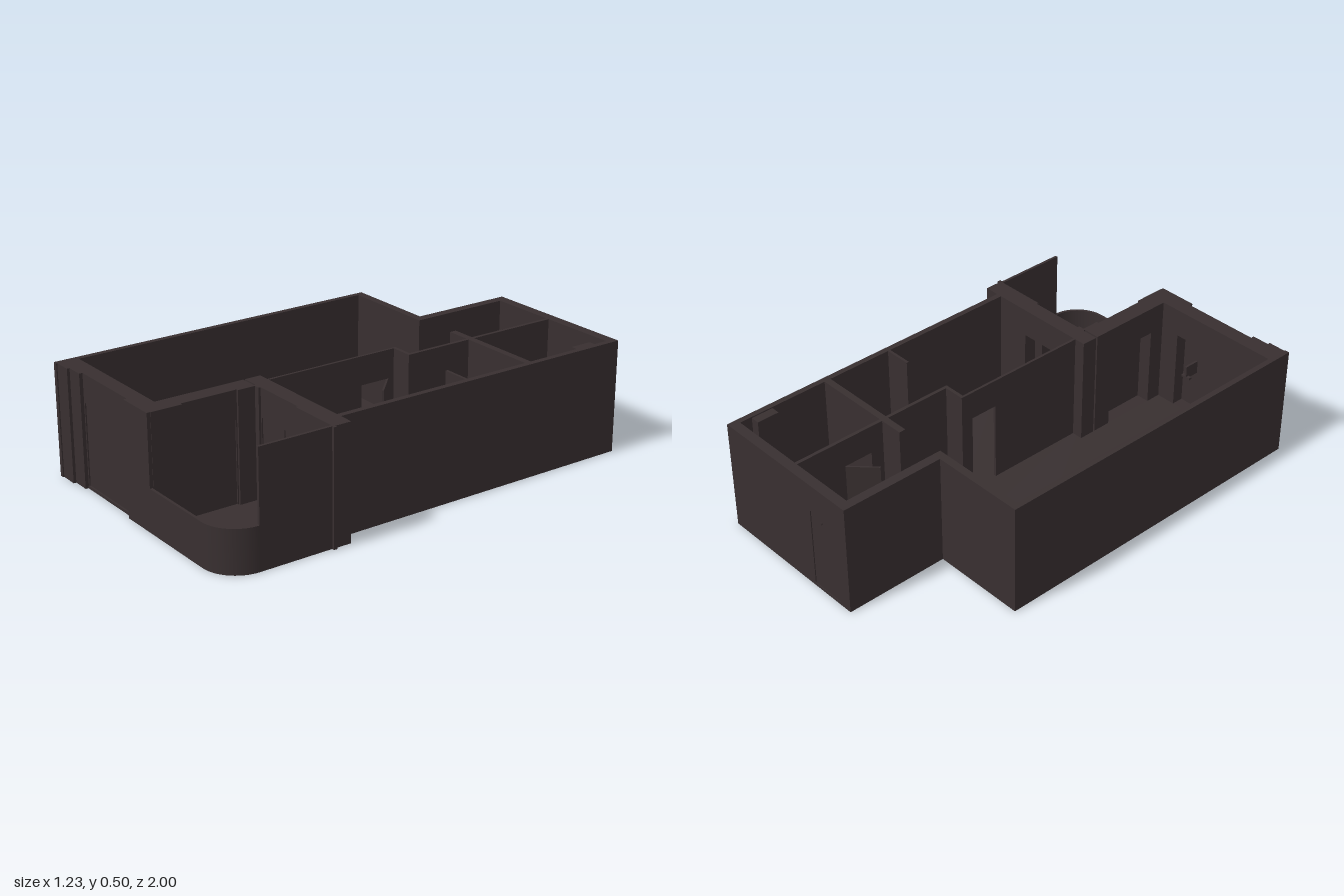
import * as THREE from 'three';

const H = 0.495;      // wall height
const DOOR = 0.37;    // head height of all openings
const FLOOR = 0.012;

export function createModel() {
  const model = new THREE.Group();
  model.name = 'apartmentShell';
  const plaster = new THREE.MeshStandardMaterial({ color: 0x382f30 });
  plaster.name = 'dark plaster';

  const add = (name, geo) => {
    const m = new THREE.Mesh(geo, plaster);
    m.name = name;
    model.add(m);
    return m;
  };
  // Box given by its limits in plan, then in height
  const block = (name, x0, x1, z0, z1, y0 = 0, y1 = H) => {
    const g = new THREE.BoxGeometry(x1 - x0, y1 - y0, z1 - z0);
    g.translate((x0 + x1) / 2, (y0 + y1) / 2, (z0 + z1) / 2);
    return add(name, g);
  };
  // Wall along x or z with openings [from, to, sill, head]
  const wall = (name, axis, a0, a1, b0, b1, openings = []) => {
    const part = (p, q, y0, y1) => axis === 'x'
      ? block(name, p, q, b0, b1, y0, y1)
      : block(name, b0, b1, p, q, y0, y1);
    let at = a0;
    for (const [p, q, sill, head] of openings) {
      if (p > at) part(at, p, 0, H);
      if (sill > 0) part(p, q, 0, sill);
      part(p, q, head, H);
      at = q;
    }
    if (a1 > at) part(at, a1, 0, H);
  };
  // Flat slab or wall drawn in plan as [x, z] points
  const slab = (name, shape, height) => {
    const g = new THREE.ExtrudeGeometry(shape, { depth: height, bevelEnabled: false, curveSegments: 16 });
    g.rotateX(Math.PI / 2);
    g.translate(0, height, 0);
    return add(name, g);
  };

  // Floor of the rooms
  const plan = [[-0.615, -0.535], [-0.195, -0.535], [-0.195, -1], [0.535, -1], [0.535, 0.42],
    [0.6, 0.42], [0.6, 0.5], [0.08, 0.5], [0.08, 0.97], [-0.615, 0.97]];
  slab('floor', new THREE.Shape(plan.map(([x, z]) => new THREE.Vector2(x, z))), FLOOR);

  // Balcony floor and low parapet with a rounded corner
  const balcony = new THREE.Shape();
  balcony.moveTo(0.08, 0.5);
  balcony.lineTo(0.595, 0.5);
  balcony.lineTo(0.595, 0.83);
  balcony.absarc(0.445, 0.83, 0.15, 0, Math.PI / 2, false);
  balcony.lineTo(0.08, 0.98);
  slab('balconyFloor', balcony, FLOOR);

  const parapet = new THREE.Shape();
  parapet.moveTo(0.598, 0.83);
  parapet.absarc(0.445, 0.83, 0.153, 0, Math.PI / 2, false);
  parapet.lineTo(0.083, 0.983);
  parapet.lineTo(0.083, 0.971);
  parapet.lineTo(0.445, 0.971);
  parapet.absarc(0.445, 0.83, 0.141, Math.PI / 2, 0, true);
  slab('balconyParapet', parapet, 0.187);
  block('balconyScreen', 0.586, 0.598, 0.5, 0.83);

  // Outer walls
  wall('leftWall', 'z', -0.535, 0.97, -0.615, -0.59);
  wall('notchWall', 'x', -0.59, -0.155, -0.535, -0.5);
  wall('entranceSideWall', 'z', -1, -0.535, -0.195, -0.155);
  wall('backWall', 'x', -0.155, 0.535, -1, -0.955, [[-0.135, 0.02, 0, DOOR]]);
  wall('rightWall', 'z', -0.955, 0.42, 0.51, 0.535);
  wall('frontWall', 'x', -0.59, 0.08, 0.9, 0.968, [[-0.43, -0.09, FLOOR, DOOR]]);
  wall('balconySideWall', 'z', 0.5, 0.9, 0, 0.075, [[0.585, 0.83, FLOOR, DOOR]]);
  wall('balconyBackWall', 'x', 0, 0.6, 0.42, 0.492,
    [[0.115, 0.25, FLOOR, DOOR], [0.27, 0.355, 0.16, DOOR]]);

  // Facade pilasters and shallow facings
  block('cornerPilaster', -0.615, -0.595, 0.968, 1);
  block('cornerPilaster', -0.595, -0.515, 0.968, 0.995);
  block('secondPilaster', -0.515, -0.437, 0.968, 0.983);
  block('middlePilaster', -0.09, 0.083, 0.968, 0.983);
  block('balconyFacing', 0.075, 0.11, 0.492, 0.502);
  block('balconyFacing', 0.36, 0.6, 0.492, 0.502);
  block('balconySideFacing', 0.075, 0.085, 0.502, 0.58);
  block('balconySideFacing', 0.075, 0.085, 0.83, 0.968);
  block('downpipe', 0.6, 0.61, 0.492, 0.507);

  // Closed leaves and glazing set into the openings
  block('entranceDoor', -0.133, 0.018, -0.997, -0.985, 0, DOOR - 0.003);
  block('entranceKnob', -0.05, -0.042, -1, -0.997, 0.34, 0.348);
  block('frontWindow', -0.43, -0.09, 0.954, 0.963, FLOOR, DOOR);
  block('frontWindowHandle', -0.185, -0.14, 0.885, 0.9, 0.19, 0.2);
  block('frontWindowHandle', -0.168, -0.158, 0.885, 0.954, 0.19, 0.25);
  block('balconySideDoor', 0.06, 0.069, 0.585, 0.83, FLOOR, DOOR);
  block('balconyDoor', 0.115, 0.25, 0.478, 0.487, FLOOR, DOOR);
  block('balconyWindow', 0.27, 0.355, 0.478, 0.487, 0.16, DOOR);

  // Inner walls
  wall('bathroomWall', 'z', -0.955, -0.54, 0.145, 0.16, [[-0.73, -0.6, 0, DOOR]]);
  wall('crossWall', 'x', 0.04, 0.51, -0.54, -0.51);
  wall('kitchenWall', 'z', -0.51, -0.195, 0.145, 0.16);
  wall('bedroomReturn', 'x', 0.05, 0.145, -0.21, -0.195);
  wall('kitchenReturn', 'x', 0.39, 0.51, -0.21, -0.198);
  wall('bedroomWall', 'z', -0.195, 0.42, 0.05, 0.061, [[-0.165, -0.03, 0, DOOR]]);

  // Service shaft and low bath front
  block('serviceShaft', 0.47, 0.51, -0.9, -0.8, 0, H - 0.005);
  block('bathFront', 0.32, 0.47, -0.806, -0.798, 0, 0.13);

  // Open door leaves, hinged at (x, z)
  const leaf = (name, x, z, angle) => {
    const g = new THREE.BoxGeometry(0.137, DOOR - FLOOR, 0.008);
    g.translate(0.0685, (DOOR + FLOOR) / 2, 0);
    const m = add(name, g);
    m.position.set(x, 0, z);
    m.rotation.y = angle;
  };
  leaf('bathroomDoor', 0.145, -0.73, -Math.PI * 0.75);
  leaf('bedroomDoor', 0.061, -0.163, -Math.PI * 0.25);

  return model;
}
